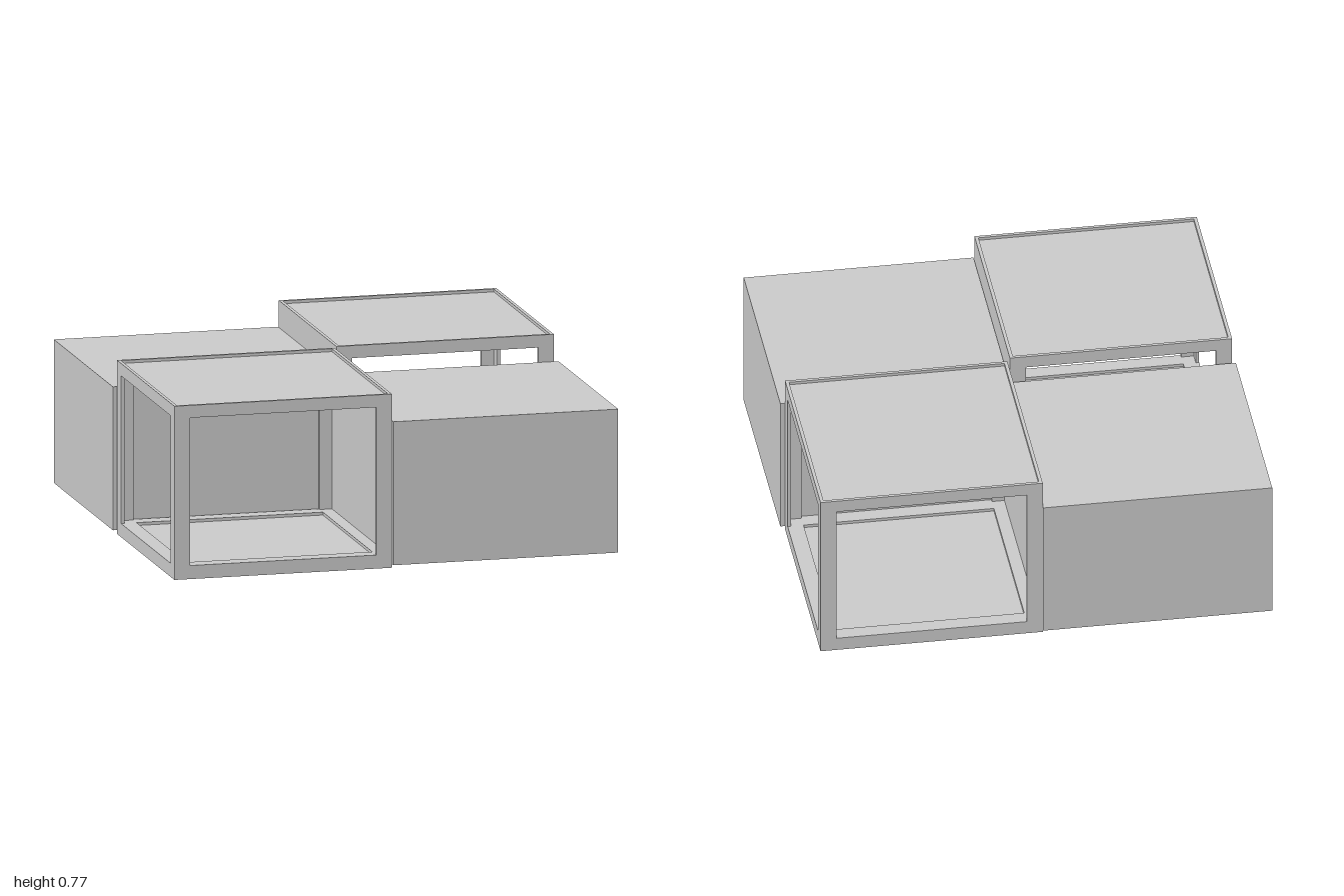
import * as THREE from 'three';

const mat = new THREE.MeshStandardMaterial({ color: 0xcccccc, flatShading: true });

const SIZE = 0.975, HEIGHT = 0.77, WALL = 0.015, MARGIN = 0.07;

function add(parent, name, geometry, x = 0, y = 0, z = 0) {
  const mesh = new THREE.Mesh(geometry, mat);
  mesh.name = name;
  mesh.position.set(x, y, z);
  parent.add(mesh);
  return mesh;
}

// Box given by its lower and upper corners
function block(parent, name, [x0, y0, z0], [x1, y1, z1]) {
  return add(parent, name, new THREE.BoxGeometry(x1 - x0, y1 - y0, z1 - z0),
    (x0 + x1) / 2, (y0 + y1) / 2, (z0 + z1) / 2);
}

function rectangle(Kind, x0, y0, x1, y1) {
  const r = new Kind();
  r.moveTo(x0, y0);
  r.lineTo(x1, y0);
  r.lineTo(x1, y1);
  r.lineTo(x0, y1);
  r.closePath();
  return r;
}

// Sheet of the given thickness with a rectangular opening
function openSheet(outer, inner, depth) {
  const shape = rectangle(THREE.Shape, ...outer);
  shape.holes.push(rectangle(THREE.Path, ...inner));
  return new THREE.ExtrudeGeometry(shape, { depth, bevelEnabled: false });
}

// Open box: three windowed walls, one solid wall on +x, inset lid and floor
function windowBox(name, closedBottom) {
  const box = new THREE.Group();
  box.name = name;
  const h = SIZE / 2, w = h - MARGIN, inside = h - WALL;
  const opening = [-w, 0.06, w, 0.715];

  const wide = openSheet([-h, 0, h, HEIGHT], opening, WALL);
  add(box, 'frontWindowWall', wide, 0, 0, inside);
  add(box, 'backWindowWall', wide, 0, 0, -h);
  const side = add(box, 'sideWindowWall',
    openSheet([-inside, 0, inside, HEIGHT], opening, WALL), -h);
  side.rotation.y = Math.PI / 2;
  block(box, 'solidWall', [inside, 0, -inside], [h, HEIGHT, inside]);

  // Lid sits just below the rim
  block(box, 'lid', [-inside, 0.74, -inside], [inside, 0.757, inside]);

  // Floor ring with a thin panel set into it
  const ring = add(box, 'floorRing',
    openSheet([-inside, -inside, inside, inside], [-w, -w, w, w], 0.06), 0, 0.06);
  ring.rotation.x = Math.PI / 2;
  block(box, 'floorPanel', [-w, closedBottom ? 0 : 0.04, -w], [w, 0.047, w]);
  return box;
}

export function createModel() {
  const model = new THREE.Group();
  model.name = 'tableCluster';

  // Two solid blocks on opposite corners
  block(model, 'frontBlock', [-0.008, 0.014, -0.008], [1, 0.65, 1]);
  block(model, 'backBlock', [-1, 0.014, -1], [0.005, 0.65, 0]);

  // Two taller open boxes on the other corners, solid walls facing inward
  const front = windowBox('frontOpenBox', false);
  front.position.set(-0.4975, 0, 0.4975);
  const back = windowBox('backOpenBox', true);
  back.position.set(0.4925, 0, -0.5);
  back.rotation.y = Math.PI;
  model.add(front, back);
  return model;
}
